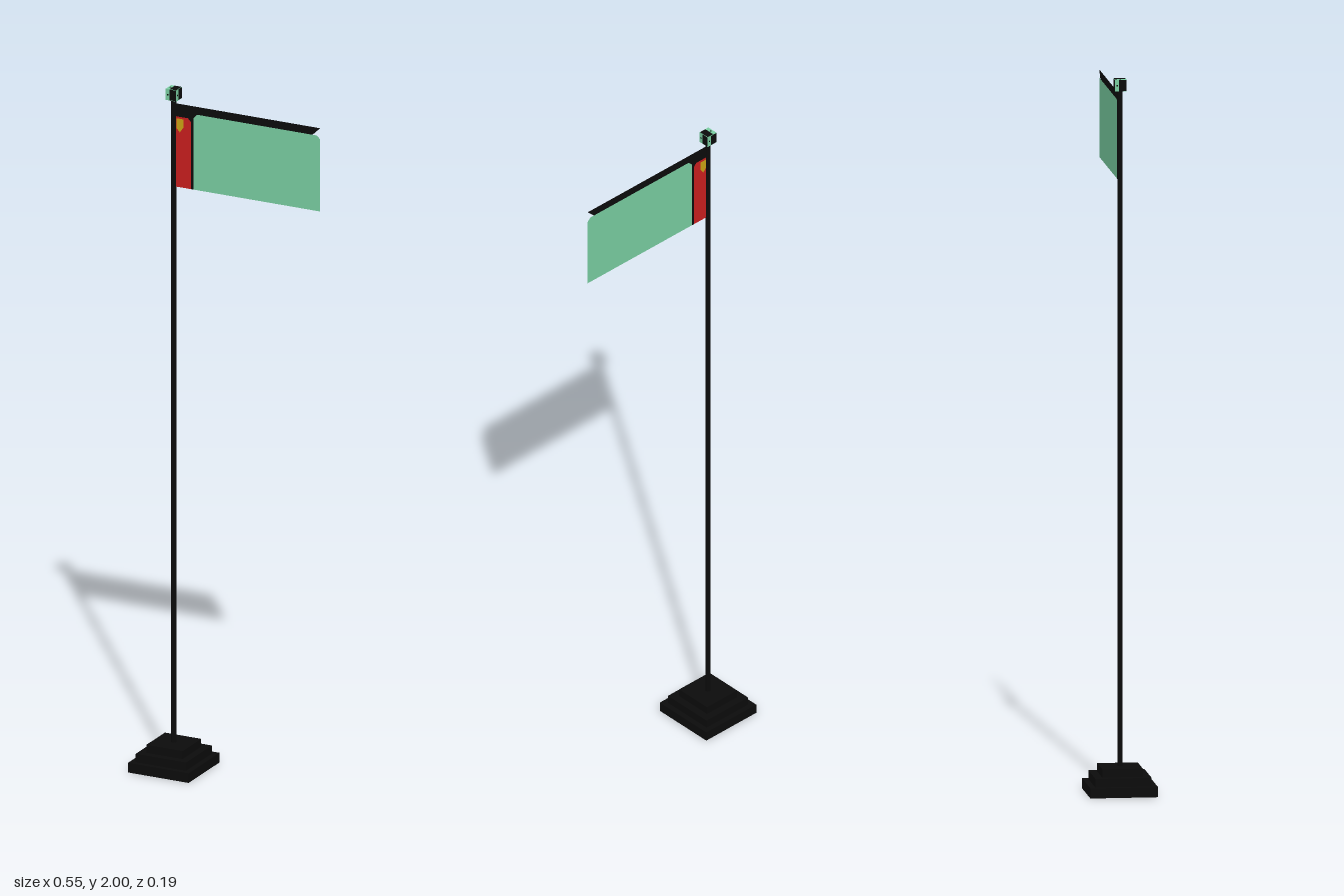
import * as THREE from 'three';

const mat = (name, color, extra = {}) => {
  const m = new THREE.MeshStandardMaterial({ color, ...extra });
  m.name = name;
  return m;
};

export function createModel() {
  const group = new THREE.Group();
  group.name = 'flagpole';
  const two = { side: THREE.DoubleSide };
  const black = mat('black', 0x0b0b0b, two);
  const green = mat('mint green', 0x78cca0, two);
  const red = mat('red', 0xc81e1e, two);
  const gold = mat('gold', 0xc9a214, two);
  const PX = -0.183; // pole axis

  const add = (name, geo, material, x = 0, y = 0, z = 0, parent = group) => {
    const mesh = new THREE.Mesh(geo, material);
    mesh.name = name;
    mesh.position.set(x, y, z);
    parent.add(mesh);
    return mesh;
  };
  const sheet = (pts) => new THREE.ShapeGeometry(
    new THREE.Shape(pts.map(([x, y]) => new THREE.Vector2(x, y))));

  // Stepped square base
  [[0.189, 0, 0.028], [0.157, 0.028, 0.052], [0.113, 0.052, 0.075]].forEach(([w, y0, y1], i) =>
    add(`baseStep${i + 1}`, new THREE.BoxGeometry(w, y1 - y0, w), black, PX, (y0 + y1) / 2));

  // Pole
  add('pole', new THREE.CylinderGeometry(0.0075, 0.0075, 1.9, 12), black, PX, 1.02);

  // Cube finial: green frame with dark panels and a dot on every face
  const finial = new THREE.Group();
  finial.name = 'finial';
  finial.position.set(PX, 1.983, 0);
  group.add(finial);
  const S = 0.033;
  add('finialCube', new THREE.BoxGeometry(S, S, S), green, 0, 0, 0, finial);
  const turns = [[0, 0], [0, Math.PI / 2], [0, Math.PI], [0, -Math.PI / 2], [-Math.PI / 2, 0], [Math.PI / 2, 0]];
  turns.forEach(([rx, ry]) => {
    const face = new THREE.Group();
    face.name = 'finialFace';
    face.rotation.set(rx, ry, 0);
    finial.add(face);
    add('darkPanel', new THREE.BoxGeometry(0.02, 0.031, 0.001), black, 0.0055, 0, S / 2, face);
    add('dot', new THREE.BoxGeometry(0.004, 0.004, 0.001), black, -0.01, 0, S / 2, face);
  });

  // Flag: flat panels side by side
  const flag = new THREE.Group();
  flag.name = 'flag';
  group.add(flag);
  add('greenField', sheet([
    [-0.122, 1.71], [0.272, 1.71], [0.272, 1.922], [0.262, 1.932], [-0.11, 1.932], [-0.122, 1.92],
  ]), green, 0, 0, 0, flag);
  add('redBand', sheet([
    [-0.18, 1.71], [-0.13, 1.71], [-0.13, 1.908], [-0.139, 1.917], [-0.18, 1.917],
  ]), red, 0, 0, 0, flag);
  add('blackBorder', sheet([
    [-0.18, 1.955], [0.272, 1.955], [0.248, 1.932], [-0.11, 1.932], [-0.122, 1.92], [-0.122, 1.71],
    [-0.13, 1.71], [-0.13, 1.908], [-0.139, 1.917], [-0.18, 1.917],
  ]), black, 0, 0, 0, flag);

  // Small gold emblem on both sides of the red band
  const emblem = sheet([
    [-0.174, 1.912], [-0.152, 1.912], [-0.152, 1.888], [-0.163, 1.872], [-0.174, 1.884],
  ]);
  for (const z of [-0.002, 0.002]) add('emblem', emblem, gold, 0, 0, z, flag);

  return group;
}
